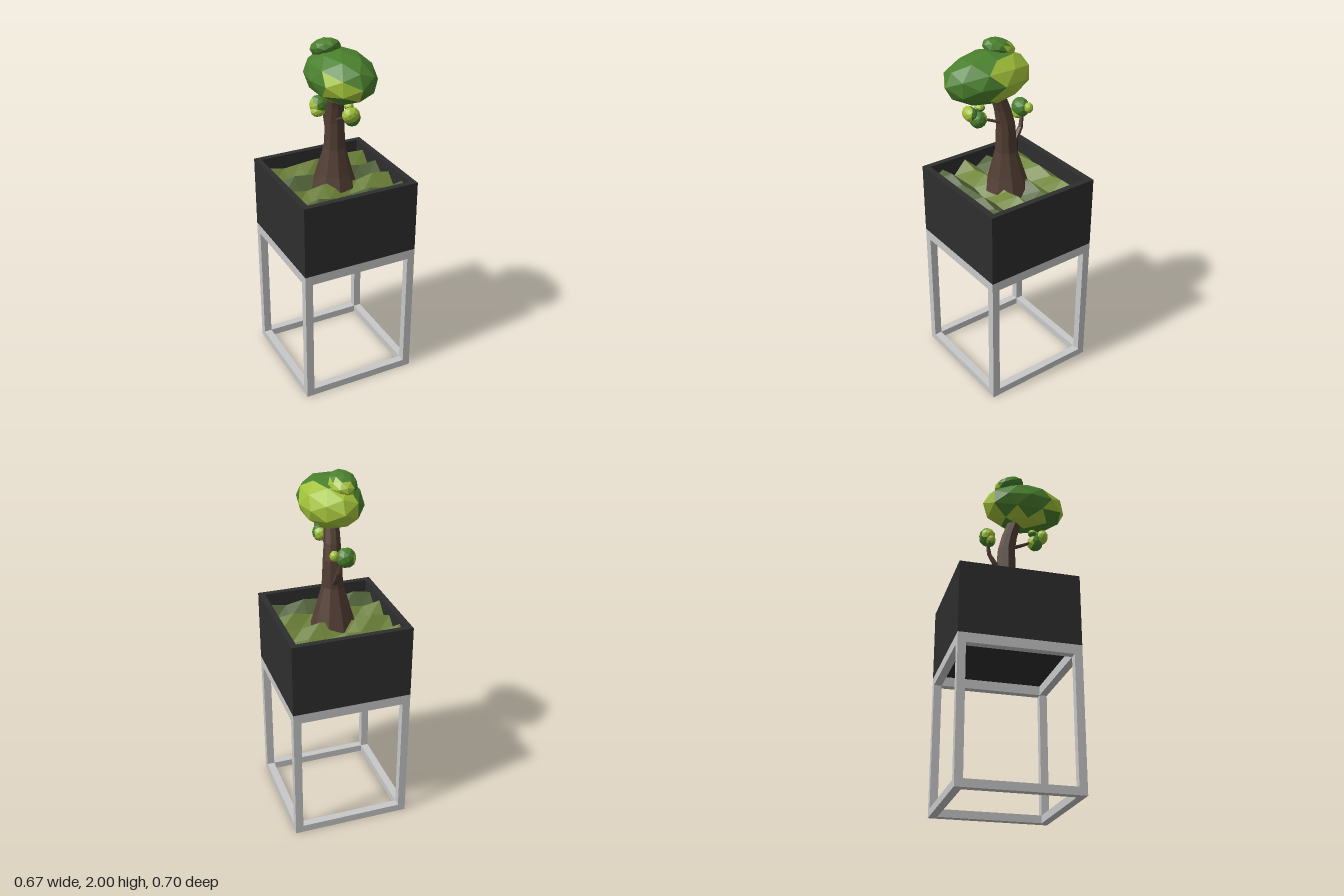
import * as THREE from 'three';

const mat = (name, color, flatShading = true) => {
  const m = new THREE.MeshStandardMaterial({ color, flatShading });
  m.name = name;
  return m;
};

export function createModel() {
  const model = new THREE.Group();
  const metal = mat('paleMetal', 0xc8c8c8);
  const dark = mat('charcoal', 0x2e2e2e);
  const bark = mat('bark', 0x523e33);
  const green = mat('leafGreen', 0x4a802d);
  const lime = mat('leafLime', 0xa2c23a);
  const grass = mat('grass', 0x6f843a);
  const moss = mat('moss', 0x52643a);

  const add = (parent, name, geo, material) => {
    const mesh = new THREE.Mesh(geo, material);
    mesh.name = name;
    parent.add(mesh);
    return mesh;
  };
  const group = (name) => {
    const g = new THREE.Group();
    g.name = name;
    model.add(g);
    return g;
  };

  const HALF = 0.337, CZ = -0.013, TOP = 0.81, RIM = 1.225;

  // Stand: four posts and two square rings of bars
  const stand = group('stand');
  stand.position.z = CZ;
  const T = 0.044, off = HALF - T / 2, span = 2 * (HALF - T);
  for (const s of [-1, 1]) {
    for (const t of [-1, 1]) {
      add(stand, 'post', new THREE.BoxGeometry(T, TOP, T), metal).position.set(s * off, TOP / 2, t * off);
    }
    for (const [y, h] of [[0.0215, 0.043], [TOP - 0.0275, 0.055]]) {
      add(stand, 'crossBar', new THREE.BoxGeometry(span, h, T), metal).position.set(0, y, s * off);
      add(stand, 'sideBar', new THREE.BoxGeometry(T, h, span), metal).position.set(s * off, y, 0);
    }
  }

  // Planter: square tube of walls with a floor
  const planter = group('planter');
  planter.position.z = CZ;
  const INNER = 0.304;
  const square = (C, r) => new C([[-r, -r], [r, -r], [r, r], [-r, r]].map(([x, y]) => new THREE.Vector2(x, y)));
  const wallShape = square(THREE.Shape, HALF);
  wallShape.holes.push(square(THREE.Path, INNER));
  const walls = new THREE.ExtrudeGeometry(wallShape, { depth: RIM - TOP, bevelEnabled: false });
  walls.rotateX(-Math.PI / 2).translate(0, TOP, 0);
  add(planter, 'planterWalls', walls, dark);
  add(planter, 'planterFloor', new THREE.BoxGeometry(2 * INNER, 0.03, 2 * INNER), dark).position.y = TOP + 0.015;

  // Grass: ridged rows, with mossy patches
  const NX = 6, NZ = 8;
  const lawn = new THREE.PlaneGeometry(2 * INNER, 2 * INNER, NX, NZ).rotateX(-Math.PI / 2);
  const lp = lawn.attributes.position;
  for (let j = 0; j <= NZ; j++) {
    for (let i = 0; i <= NX; i++) {
      const ripple = 0.012 * Math.sin(i * 2.3 + j * 1.7);
      lp.setY(j * (NX + 1) + i, (j % 2 ? 1.19 : 1.125) + ripple);
    }
  }
  lawn.clearGroups();
  const mossRows = [3, 6, 7];
  for (let j = 0; j < NZ; j++) {
    lawn.addGroup(j * NX * 6, NX * 6, mossRows.includes(j) ? 1 : 0);
  }
  lawn.computeVertexNormals();
  add(planter, 'grass', lawn, [grass, moss]);

  // Limb lofted through rings [x, y, z, radius]
  const limb = (parent, name, rings, sides) => {
    const pos = [], idx = [];
    rings.forEach(([x, y, z, r], k) => {
      for (let i = 0; i < sides; i++) {
        const a = ((i + 0.5) / sides) * Math.PI * 2;
        pos.push(x + r * Math.cos(a), y, z + r * Math.sin(a));
        if (k === 0) continue;
        const n = (i + 1) % sides, p = (k - 1) * sides, q = k * sides;
        idx.push(p + i, q + i, q + n, p + i, q + n, p + n);
      }
    });
    const geo = new THREE.BufferGeometry();
    geo.setAttribute('position', new THREE.Float32BufferAttribute(pos, 3));
    geo.setIndex(idx);
    geo.computeVertexNormals();
    return add(parent, name, geo, bark);
  };

  // Trunk and its two branches
  const tree = group('tree');
  limb(tree, 'trunk', [
    [0, 1.11, -0.012, 0.137], [0, 1.225, -0.012, 0.102], [0, 1.375, -0.006, 0.06],
    [0, 1.53, -0.003, 0.052], [-0.005, 1.62, 0.014, 0.046], [-0.01, 1.7, 0.04, 0.042], [-0.01, 1.8, 0.07, 0.036],
  ], 9);
  limb(tree, 'frontBranch', [
    [0, 1.545, 0.02, 0.022], [0, 1.575, 0.09, 0.018], [0, 1.6, 0.14, 0.014], [0, 1.635, 0.18, 0.008],
  ], 6);
  limb(tree, 'backBranch', [
    [0, 1.38, -0.03, 0.022], [0, 1.435, -0.075, 0.019], [0, 1.485, -0.105, 0.014], [-0.01, 1.56, -0.12, 0.009],
  ], 6);

  // Leaf clump: faceted ball, each face green or lime by a rule on its direction
  const clump = (name, [x, y, z], [rx, ry, rz], isLime, tilt = 0) => {
    const geo = new THREE.IcosahedronGeometry(1, 1);
    const p = geo.attributes.position;
    for (let f = 0; f < p.count; f += 3) {
      const c = new THREE.Vector3();
      for (let k = 0; k < 3; k++) c.add(new THREE.Vector3().fromBufferAttribute(p, f + k));
      geo.addGroup(f, 3, isLime(c.normalize()) ? 1 : 0);
    }
    geo.scale(rx, ry, rz);
    const mesh = add(tree, name, geo, [green, lime]);
    mesh.position.set(x, y, z);
    mesh.rotation.x = tilt;
  };
  const patch = new THREE.Vector3(-0.62, -0.08, 0.78);
  const backRight = (n) => 0.65 * n.x - n.z > 0.38;

  clump('canopy', [-0.02, 1.82, 0.1], [0.173, 0.136, 0.252],
    (n) => backRight(n) || n.dot(patch) > 0.86 || (n.y < -0.75 && n.x < 0));
  clump('canopyCrown', [-0.055, 1.943, 0], [0.078, 0.05, 0.095], (n) => 0.65 * n.x - n.z > 0.55, -0.35);
  clump('frontLeaves', [0.01, 1.61, 0.177], [0.045, 0.048, 0.048], (n) => n.z < -0.5);
  clump('frontLeafTip', [-0.015, 1.642, 0.213], [0.05, 0.042, 0.036], (n) => n.x - n.z < 0.4);
  clump('frontLeafBud', [0, 1.668, 0.16], [0.025, 0.024, 0.028], (n) => n.y > 0);
  clump('backLeaves', [-0.033, 1.58, -0.127], [0.055, 0.056, 0.048], (n) => n.x < -0.6);
  clump('backLeafTip', [-0.045, 1.55, -0.112], [0.044, 0.033, 0.032], (n) => n.y > -0.7);
  clump('backLeafBud', [0.033, 1.6, -0.132], [0.026, 0.03, 0.024], () => true);

  return model;
}
